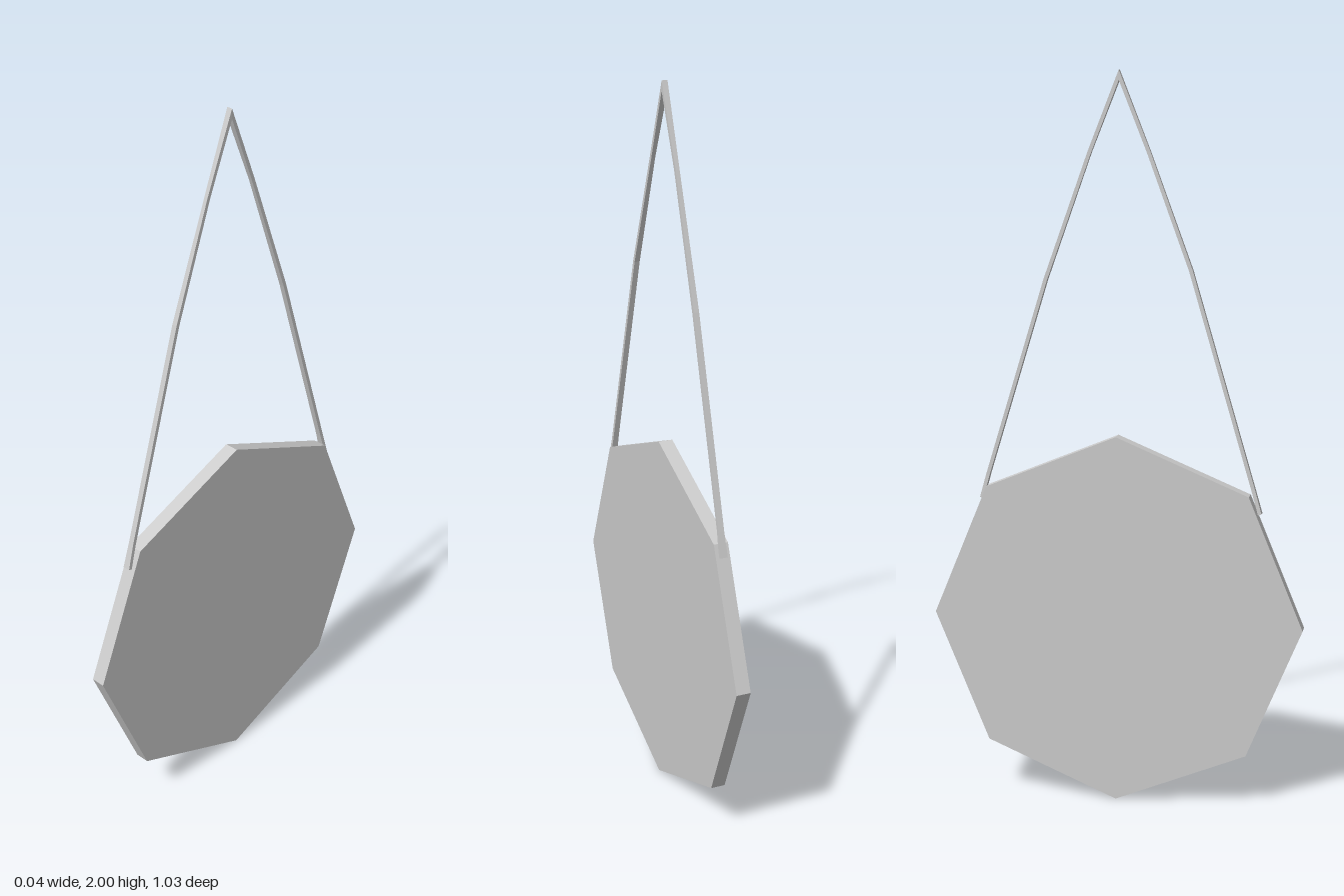
import * as THREE from 'three';

const material = new THREE.MeshStandardMaterial({ color: 0xcccccc, flatShading: true });

// Flat band in the zy plane: stations of [z, y, width], thickness added inward
function bandGeometry(stations, thickness) {
  const points = stations.map(([z, y]) => new THREE.Vector2(z, y));
  const normalOf = (i) => {
    const d = points[i + 1].clone().sub(points[i]).normalize();
    return new THREE.Vector2(d.y, -d.x);
  };
  const last = points.length - 1;
  const rings = points.map((p, i) => {
    // Mitre the joint so the band keeps its thickness round each bend
    const before = normalOf(Math.max(i - 1, 0));
    const after = normalOf(Math.min(i, last - 1));
    const mitre = before.clone().add(after).normalize();
    const inner = p.clone().addScaledVector(mitre, -thickness / mitre.dot(after));
    const h = stations[i][2] / 2;
    return [[h, p.y, p.x], [-h, p.y, p.x], [-h, inner.y, inner.x], [h, inner.y, inner.x]];
  });

  const positions = [];
  const quad = (a, b, c, d) => positions.push(...a, ...b, ...c, ...a, ...c, ...d);
  for (let i = 0; i < last; i++) {
    for (let k = 0; k < 4; k++) {
      const n = (k + 1) % 4;
      quad(rings[i][k], rings[i + 1][k], rings[i + 1][n], rings[i][n]);
    }
  }
  quad(...rings[0]);
  quad(...rings[last].slice().reverse());

  const geometry = new THREE.BufferGeometry();
  geometry.setAttribute('position', new THREE.Float32BufferAttribute(positions, 3));
  geometry.computeVertexNormals();
  return geometry;
}

export function createModel() {
  const model = new THREE.Group();
  model.name = 'hangingDisc';

  // Octagonal plate standing on one corner, its faces toward the sides
  const radius = 0.514;
  const plate = new THREE.Mesh(new THREE.CylinderGeometry(radius, radius, 0.04, 8), material);
  plate.name = 'plate';
  plate.rotation.z = Math.PI / 2;
  plate.position.y = radius;
  model.add(plate);

  // Thin strap rising from both shoulders to a peak
  const strap = new THREE.Mesh(bandGeometry([
    [0.397, 0.83, 0.021],
    [0.377, 0.9, 0.016],
    [0.205, 1.48, 0.015],
    [0.09, 1.79, 0.011],
    [0.006, 2.0, 0.016],
    [-0.078, 1.79, 0.011],
    [-0.2, 1.45, 0.015],
    [-0.366, 0.91, 0.016],
    [-0.384, 0.845, 0.021],
  ], 0.01), material);
  strap.name = 'strap';
  model.add(strap);

  return model;
}
